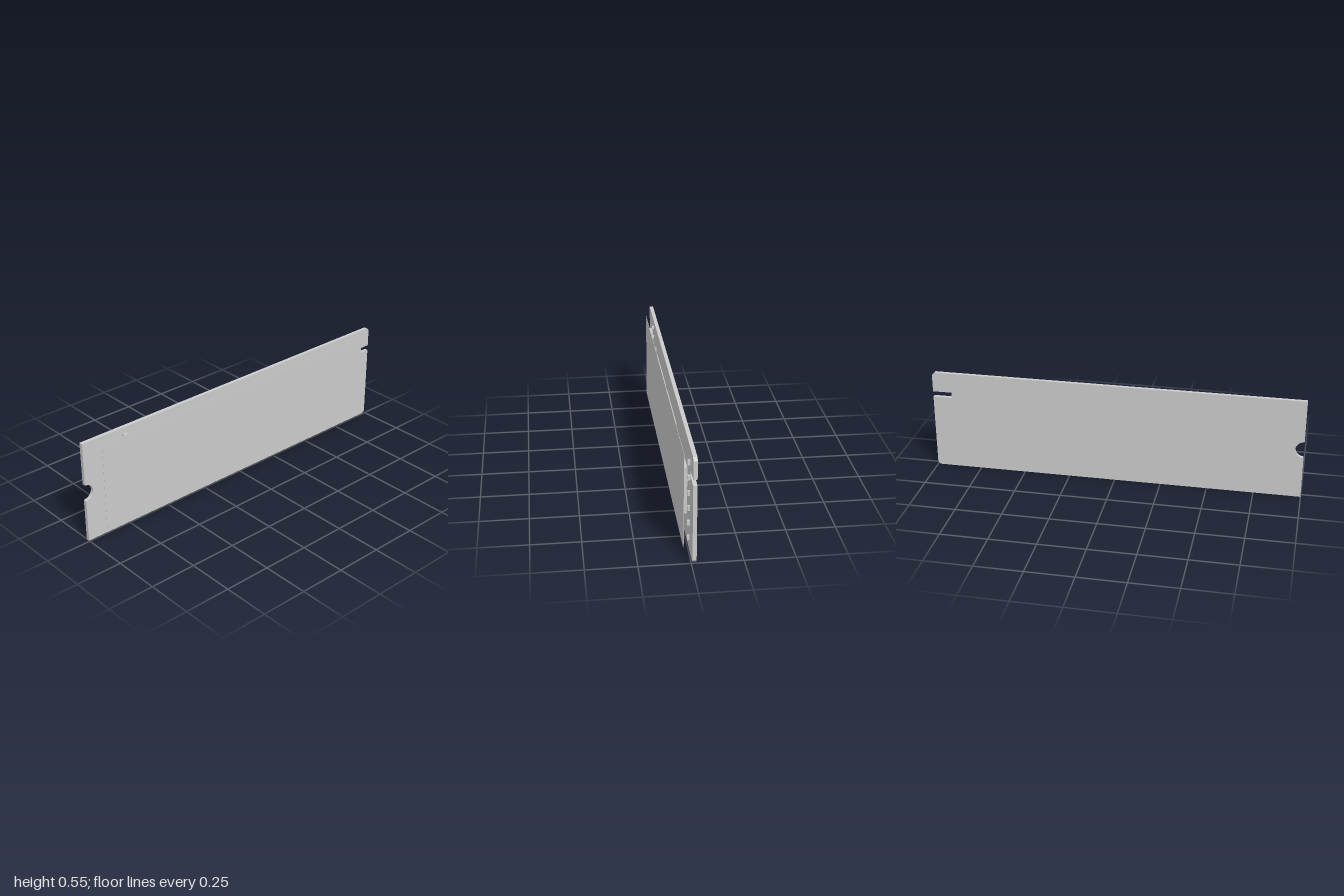
import * as THREE from 'three';

const material = new THREE.MeshStandardMaterial({ color: 0xcccccc, flatShading: true });
const BOARD_FRONT = -0.0055;

function add(group, name, geometry, x, y, z) {
  const mesh = new THREE.Mesh(geometry, material);
  mesh.name = name;
  mesh.position.set(x, y, z);
  group.add(mesh);
}

// Chip package with chamfered edges, standing on the board face
function addChip(group, name, x, y, w, h, top, bevel = 0.003) {
  const a = w / 2 - bevel, b = h / 2 - bevel;
  const shape = new THREE.Shape([
    new THREE.Vector2(-a, -b), new THREE.Vector2(a, -b),
    new THREE.Vector2(a, b), new THREE.Vector2(-a, b),
  ]);
  const geometry = new THREE.ExtrudeGeometry(shape, {
    depth: top - BOARD_FRONT - 2 * bevel,
    bevelEnabled: true, bevelThickness: bevel, bevelSize: bevel, bevelSegments: 1,
  });
  add(group, name, geometry, x, y, BOARD_FRONT + bevel);
}

// Tiny surface-mount block
function addBlock(group, name, x, y, w, h) {
  const d = 0.0125;
  add(group, name, new THREE.BoxGeometry(w, h, d), x, y, BOARD_FRONT + d / 2);
}

export function createModel() {
  const group = new THREE.Group();
  group.name = 'storageCard';

  // Circuit board: chamfered connector end, key slot, half-round screw notch
  const H = 0.552, c = 0.015, r = 0.045;
  const outline = new THREE.Shape();
  outline.moveTo(-1, 0);
  outline.lineTo(1 - c, 0);
  outline.lineTo(1, c);
  outline.lineTo(1, 0.411);
  outline.lineTo(0.897, 0.411);
  outline.lineTo(0.897, 0.441);
  outline.lineTo(1, 0.441);
  outline.lineTo(1, H - c);
  outline.lineTo(1 - c, H);
  outline.lineTo(-1, H);
  outline.lineTo(-1, H / 2 + r);
  outline.absarc(-1, H / 2, r, Math.PI / 2, -Math.PI / 2, true);
  outline.lineTo(-1, 0);
  const board = new THREE.ExtrudeGeometry(outline, { depth: 0.02, bevelEnabled: false, curveSegments: 24 });
  add(group, 'circuitBoard', board, 0, 0, -0.0255);

  // Label sheet covering the chips
  add(group, 'labelSheet', new THREE.BoxGeometry(1.815, 0.5, 0.0015), 0, 0.276, 0.0248);

  // Main chips
  addChip(group, 'memoryChipRight', -0.327, 0.276, 0.435, 0.296, 0.0235);
  addChip(group, 'memoryChipLeft', 0.148, 0.276, 0.435, 0.296, 0.0235);
  addChip(group, 'controllerChip', 0.673, 0.276, 0.245, 0.248, 0.0185);
  addChip(group, 'powerChip', -0.838, 0.424, 0.075, 0.075, 0.0135);
  addChip(group, 'powerCoil', -0.838, 0.276, 0.065, 0.065, 0.02);

  // Capacitors beside the connector
  for (let i = 0; i < 6; i++) addBlock(group, 'connectorCapacitor', 0.89, 0.076 + i * 0.08, 0.0125, 0.025);

  // Two columns of small parts near the screw end
  for (let i = 0; i < 9; i++) addBlock(group, 'resistor', -0.75, 0.041 + i * 0.0589, 0.025, 0.0125);
  for (let i = 0; i < 6; i++) addBlock(group, 'capacitor', -0.615, 0.126 + i * 0.06, 0.0125, 0.025);

  return group;
}
